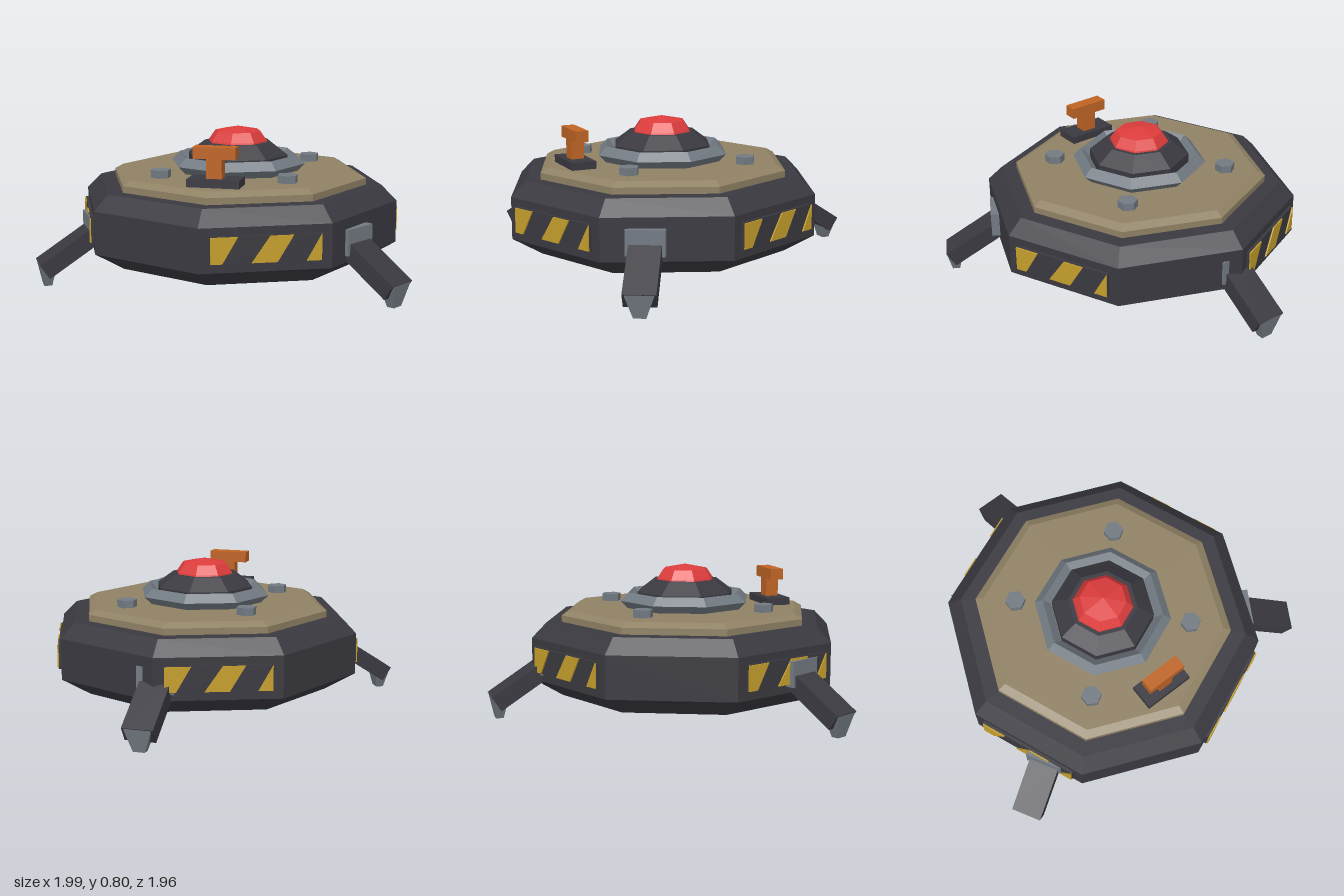
import * as THREE from 'three';

const mat = (name, color) => {
  const m = new THREE.MeshStandardMaterial({ color });
  m.name = name;
  return m;
};

// Faceted normals for a low-poly look
function faceted(geo) {
  const g = geo.index ? geo.toNonIndexed() : geo;
  g.computeVertexNormals();
  return g;
}

export function createModel() {
  const dark = mat('charcoal', 0x3a3940);
  const tan = mat('tan', 0x8f8164);
  const grey = mat('steel grey', 0x727a82);
  const red = mat('red', 0xdc3c3c);
  const yellow = mat('hazard yellow', 0xc59f2c);
  const orange = mat('orange', 0xbf6424);

  const root = new THREE.Group();
  root.name = 'landMine';
  const body = new THREE.Group();
  body.name = 'body';
  body.position.z = 0.115;
  root.add(body);

  const add = (parent, name, geo, material, x = 0, y = 0, z = 0) => {
    const m = new THREE.Mesh(faceted(geo), material);
    m.name = name;
    m.position.set(x, y, z);
    parent.add(m);
    return m;
  };
  // Eight-sided turned part from [radius, height] pairs, bottom to top
  const octagon = (name, profile, material) =>
    add(body, name, new THREE.LatheGeometry(profile.map(p => new THREE.Vector2(...p)), 8), material);
  // Group whose local +z points outwards at the given angle
  const spoke = (name, degrees) => {
    const g = new THREE.Group();
    g.name = name;
    g.rotation.y = THREE.MathUtils.degToRad(degrees);
    body.add(g);
    return g;
  };

  // Stacked octagonal casing
  octagon('casing', [[0, 0.1], [0.7, 0.1], [0.865, 0.2], [0.865, 0.425], [0.785, 0.505], [0, 0.505]], dark);
  octagon('topPlate', [[0.7, 0.5], [0.7, 0.54], [0.655, 0.565], [0, 0.565]], tan);
  octagon('dome', [[0.275, 0.56], [0.275, 0.65], [0.185, 0.717], [0, 0.717]], dark);
  octagon('redButton', [[0.165, 0.71], [0.16, 0.725], [0.125, 0.775], [0, 0.8]], red);

  // Diamond-section ring around the dome
  add(body, 'collarRing', new THREE.TorusGeometry(0.325, 0.045, 4, 8).rotateX(-Math.PI / 2), grey, 0, 0.606, 0);

  // Hex bolts
  for (const x of [-0.337, 0.337])
    for (const z of [-0.337, 0.337])
      add(body, 'bolt', new THREE.CylinderGeometry(0.054, 0.054, 0.045, 6), grey, x, 0.583, z);

  // T-shaped pull handle
  const handle = new THREE.Group();
  handle.name = 'handle';
  handle.position.z = 0.62;
  root.add(handle);
  add(handle, 'handleBase', new THREE.BoxGeometry(0.272, 0.045, 0.136), dark, 0, 0.583, 0);
  add(handle, 'handleStem', new THREE.BoxGeometry(0.08, 0.105, 0.07), orange, 0, 0.655, 0);
  add(handle, 'handleBar', new THREE.BoxGeometry(0.22, 0.06, 0.072), orange, 0, 0.735, 0);

  // Three legs, each with bracket, strut and tapered foot
  const tilt = THREE.MathUtils.degToRad(33);
  const length = 0.36;
  for (const angle of [60, -60, 180]) {
    const leg = spoke('leg', angle);
    add(leg, 'legBracket', new THREE.BoxGeometry(0.2, 0.135, 0.12), grey, 0, 0.302, 0.778);
    const strut = add(leg, 'legStrut', new THREE.BoxGeometry(0.165, 0.09, length), dark,
      0, 0.087 + Math.sin(tilt) * length / 2, 1.075 - Math.cos(tilt) * length / 2);
    strut.rotation.x = tilt;

    const foot = new THREE.BoxGeometry(0.15, 0.125, 0.09);
    const p = foot.attributes.position;
    for (let i = 0; i < p.count; i++)
      if (p.getY(i) < 0) p.setXYZ(i, p.getX(i) * 0.42, p.getY(i), p.getZ(i) * 0.45);
    add(leg, 'foot', foot, grey, 0, 0.0625, 1.053);
  }

  // Hazard panels on every second side: backing plate plus slanted stripes
  const stripes = [
    [[-0.275, -0.066], [-0.217, -0.066], [-0.14, 0.066], [-0.275, 0.066]],
    [[-0.072, -0.066], [0.055, -0.066], [0.135, 0.066], [0.02, 0.066]],
    [[0.2, -0.066], [0.275, -0.066], [0.275, 0.066]],
  ];
  const apothem = 0.865 * Math.cos(Math.PI / 8);
  for (let k = 0; k < 4; k++) {
    const panel = spoke('hazardPanel', 22.5 + 90 * k);
    add(panel, 'panelPlate', new THREE.BoxGeometry(0.555, 0.138, 0.03), dark, 0, 0.315, apothem);
    for (const s of stripes) {
      const shape = new THREE.Shape(s.map(c => new THREE.Vector2(...c)));
      add(panel, 'hazardStripe', new THREE.ExtrudeGeometry(shape, { depth: 0.008, bevelEnabled: false }),
        yellow, 0, 0.315, apothem + 0.0145);
    }
  }
  return root;
}
